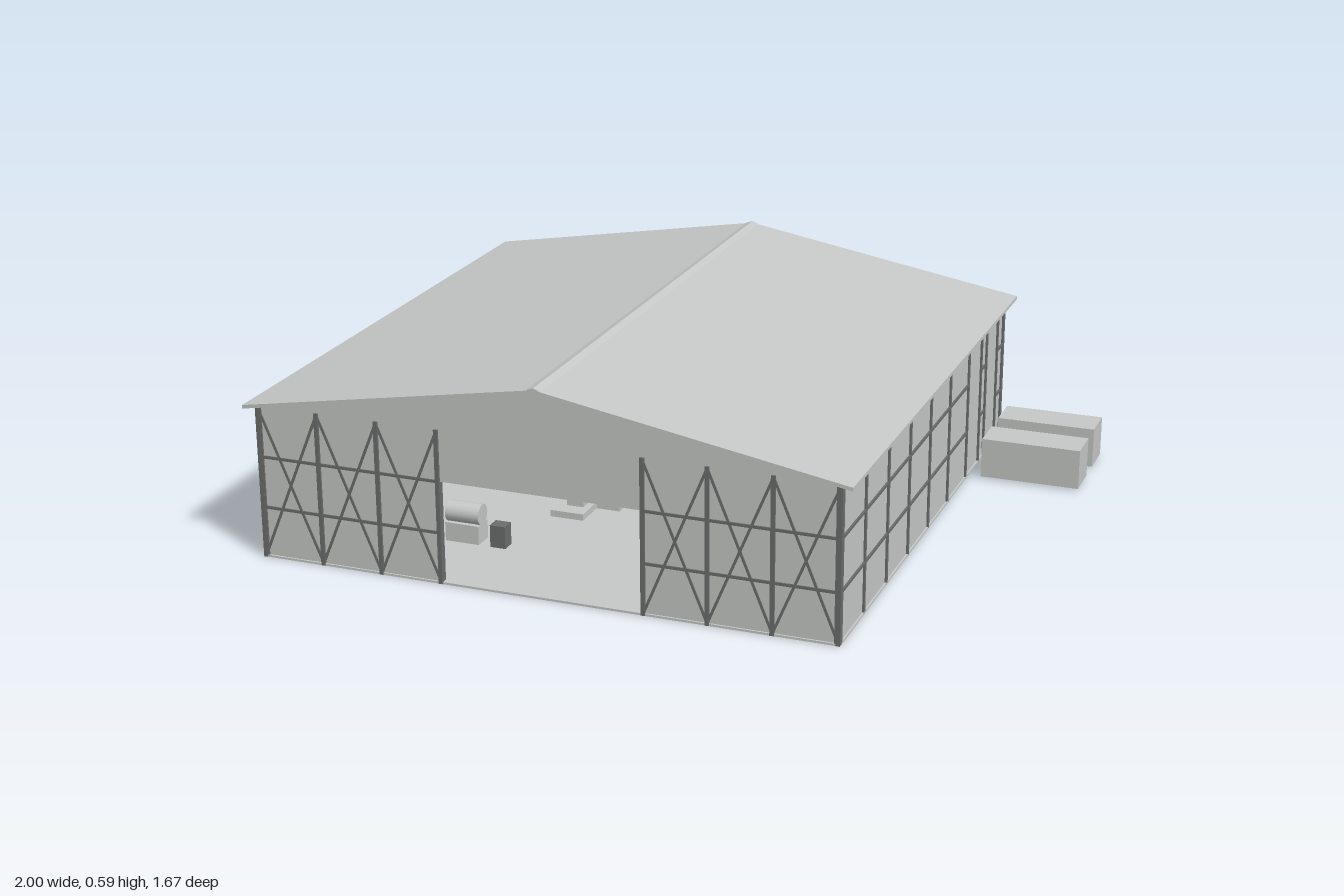
import * as THREE from 'three';

export function createModel() {
  const root = new THREE.Group();
  root.name = 'warehouse';
  const panel = new THREE.MeshStandardMaterial({ color: 0xc6c9c7 });
  panel.name = 'light grey panel';
  const steel = new THREE.MeshStandardMaterial({ color: 0x6c6e6e });
  steel.name = 'dark grey steel';

  const CX = -0.15, HX = 0.82, HZ = 0.82, EAVE = 0.435, RIDGE = 0.585;
  const LEFT = CX - HX, RIGHT = CX + HX;

  function add(name, geo, mat, x = 0, y = 0, z = 0, parent = root) {
    const m = new THREE.Mesh(geo, mat);
    m.name = name;
    m.position.set(x, y, z);
    parent.add(m);
    return m;
  }
  // Box given by its minimum and maximum corners
  function block(name, mat, x0, x1, y0, y1, z0, z1, parent = root) {
    return add(name, new THREE.BoxGeometry(x1 - x0, y1 - y0, z1 - z0), mat,
      (x0 + x1) / 2, (y0 + y1) / 2, (z0 + z1) / 2, parent);
  }
  function prism(name, points, depth, z, mat, parent = root) {
    const s = new THREE.Shape(points.map(p => new THREE.Vector2(...p)));
    return add(name, new THREE.ExtrudeGeometry(s, { depth, bevelEnabled: false }), mat, 0, 0, z, parent);
  }

  // Floor and side walls
  block('floor', panel, LEFT, RIGHT, 0, 0.006, -HZ, HZ);
  for (const s of [-1, 1]) {
    const x = CX + s * (HX - 0.008);
    block('sideWall', panel, x - 0.003, x + 0.003, 0, EAVE, -HZ + 0.005, HZ - 0.005);
  }

  // Gable walls, the front one with a wide doorway
  const gable = [[RIGHT - 0.005, EAVE], [CX, RIDGE - 0.01], [LEFT + 0.005, EAVE]];
  prism('backWall', [[LEFT + 0.005, 0], [RIGHT - 0.005, 0], ...gable], 0.006, -HZ + 0.005, panel);
  prism('frontWall', [[LEFT + 0.005, 0], [-0.435, 0], [-0.435, 0.29], [0.135, 0.29], [0.135, 0],
    [RIGHT - 0.005, 0], ...gable], 0.006, HZ - 0.011, panel);

  // Roof slopes and ridge cap
  for (const s of [-1, 1]) {
    const pts = [[CX, RIDGE], [CX + s * 0.85, 0.438], [CX + s * 0.85, 0.428], [CX, RIDGE - 0.012]];
    prism('roofSlope', s < 0 ? pts : pts.reverse(), 1.67, -0.835, panel);
  }
  prism('ridgeCap', [[CX - 0.02, RIDGE - 0.002], [CX + 0.02, RIDGE - 0.002], [CX, RIDGE + 0.005]],
    1.67, -0.835, panel);

  // Braced steel bays along an end wall
  function bracedBays(name, xs, zc, out) {
    const g = new THREE.Group();
    g.name = name;
    root.add(g);
    for (const x of xs) block('column', steel, x - 0.006, x + 0.006, 0, EAVE, zc - 0.01, zc + 0.01, g);
    for (let i = 0; i + 1 < xs.length; i++) {
      const w = xs[i + 1] - xs[i], len = Math.hypot(w, EAVE - 0.01);
      for (const s of [-1, 1]) {
        const b = add('brace', new THREE.BoxGeometry(0.007, len, 0.014), steel,
          (xs[i] + xs[i + 1]) / 2, EAVE / 2, zc, g);
        b.rotation.z = s * Math.atan2(w, EAVE - 0.01);
      }
    }
    const zo = zc + out * 0.005;
    for (const y of [0.145, 0.29]) {
      block('girt', steel, xs[0], xs[xs.length - 1], y - 0.004, y + 0.004, zo - 0.003, zo + 0.003, g);
    }
  }
  const spaced = (a, b, n) => Array.from({ length: n + 1 }, (_, i) => a + (b - a) * i / n);
  bracedBays('backFrame', spaced(LEFT + 0.006, RIGHT - 0.006, 8), -HZ + 0.009, -1);
  bracedBays('frontRightFrame', spaced(LEFT + 0.006, -0.438, 3), HZ - 0.009, 1);
  bracedBays('frontLeftFrame', spaced(0.138, RIGHT - 0.006, 3), HZ - 0.009, 1);

  // Side columns and girts; the dock side has two bays without girts
  const columns = spaced(-HZ + 0.006, HZ - 0.006, 8);
  function sideFrame(name, s, zs, girtSpans) {
    const g = new THREE.Group();
    g.name = name;
    root.add(g);
    const x = CX + s * (HX - 0.008), xo = x + s * 0.005;
    for (const z of zs) block('column', steel, x - 0.008, x + 0.008, 0, EAVE, z - 0.006, z + 0.006, g);
    for (const [z0, z1] of girtSpans) for (const y of [0.145, 0.29]) {
      block('girt', steel, xo - 0.003, xo + 0.003, y - 0.004, y + 0.004, z0, z1, g);
    }
  }
  sideFrame('rightSideFrame', -1, columns, [[-HZ, HZ]]);
  sideFrame('leftSideFrame', 1, [...columns, -0.55, -0.74], [[-0.41, HZ], [-0.6, -0.55], [-HZ, -0.74]]);

  // Two containers parked at the dock bays
  for (const z of [-0.48, -0.67]) block('container', panel, 0.71, 1, 0.006, 0.123, z - 0.057, z + 0.057);

  // Equipment inside the hall
  block('cabinet', steel, -0.415, -0.37, 0.006, 0.07, 0.52, 0.56);
  const roll = add('roll', new THREE.CylinderGeometry(0.03, 0.03, 0.1, 20), panel, -0.5, 0.085, 0.53);
  roll.rotation.z = Math.PI / 2;
  block('rollStand', panel, -0.55, -0.45, 0.006, 0.06, 0.5, 0.56);
  block('lowPlatform', panel, -0.35, -0.25, 0.006, 0.025, 0.15, 0.3);
  block('lowPlatform', panel, -0.25, -0.18, 0.006, 0.025, 0.1, 0.2);
  block('crate', panel, -0.32, -0.27, 0.025, 0.05, 0.2, 0.25);
  block('crate', panel, -0.035, 0.015, 0.006, 0.05, -0.2, -0.1);
  block('crate', panel, 0.06, 0.1, 0.006, 0.02, -0.2, -0.1);
  block('gantryBeam', panel, -0.185, -0.12, 0.115, 0.14, -0.5, -0.4);
  block('gantryPost', panel, -0.158, -0.145, 0.006, 0.115, -0.457, -0.443);
  block('machine', panel, 0.1, 0.2, 0.006, 0.165, -0.4, -0.28);
  return root;
}
